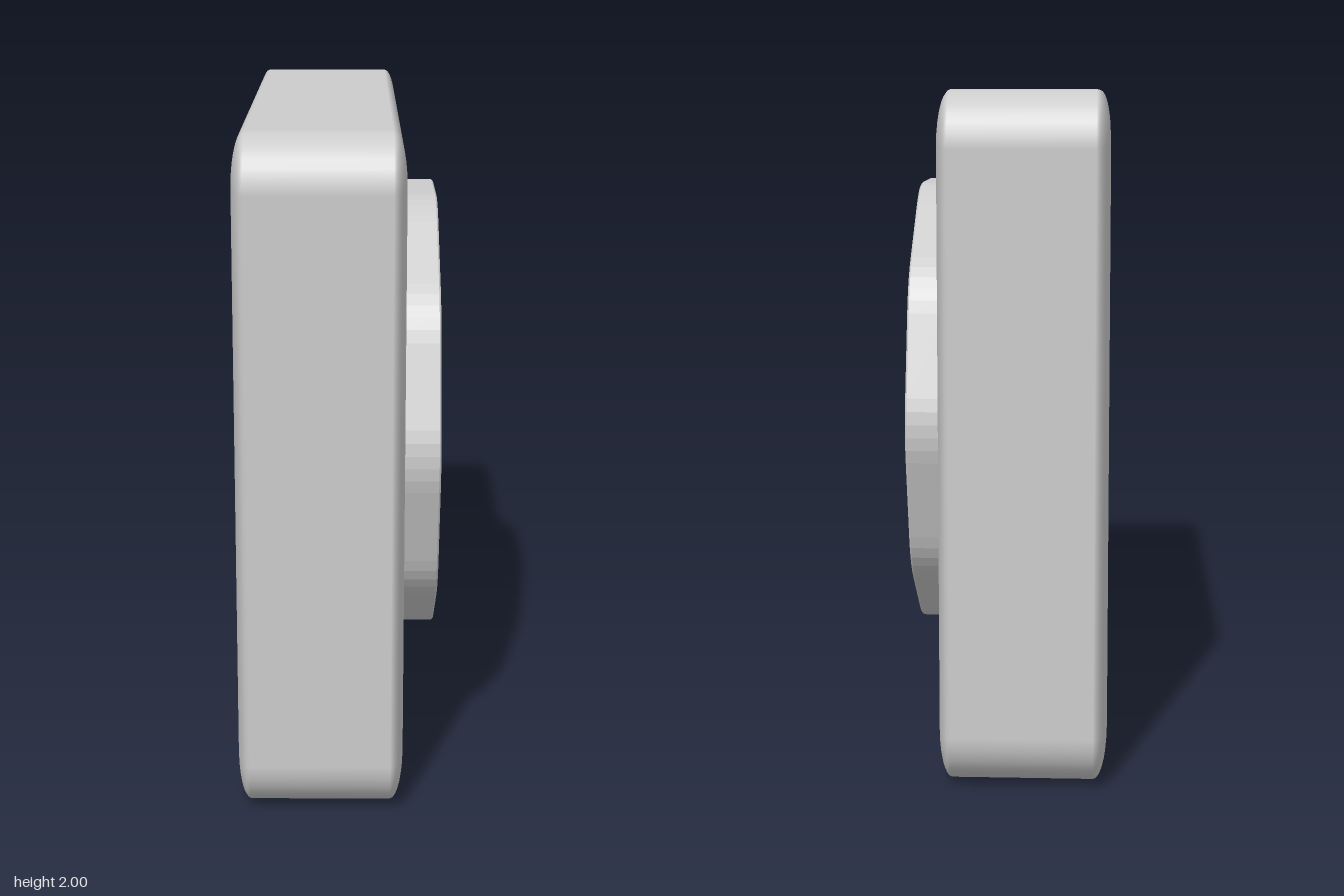
import * as THREE from 'three';
import { RoundedBoxGeometry } from 'three/addons/geometries/RoundedBoxGeometry.js';

const material = new THREE.MeshStandardMaterial({ color: 0xcccccc });
const CENTRE_Y = 1.005;

function addPart(group, name, geometry, x = 0, y = 0, z = 0) {
  const mesh = new THREE.Mesh(geometry, material);
  mesh.name = name;
  mesh.position.set(x, y, z);
  group.add(mesh);
  return mesh;
}

// Decagon with softened corners, flat at top and bottom
function softDecagon(path, apothem, softening) {
  const radius = apothem / Math.cos(Math.PI / 10);
  const corner = (i) => new THREE.Vector2(
    radius * Math.cos(i * Math.PI / 5), radius * Math.sin(i * Math.PI / 5));
  const t = softening / corner(0).distanceTo(corner(1));
  for (let i = 0; i < 10; i++) {
    const c = corner(i);
    const a = c.clone().lerp(corner(i - 1), t);
    const b = c.clone().lerp(corner(i + 1), t);
    if (i === 0) path.moveTo(a.x, a.y);
    else path.lineTo(a.x, a.y);
    path.quadraticCurveTo(c.x, c.y, b.x, b.y);
  }
  path.closePath();
  return path;
}

export function createModel() {
  const group = new THREE.Group();
  group.name = 'wallVent';

  // Square housing: a rounded cube flattened along x, so its face edges are shallow
  const housing = new RoundedBoxGeometry(0.49 * 4, 2, 2, 4, 0.16);
  housing.scale(0.25, 1, 1);
  addPart(group, 'housing', housing, -0.055, 1, 0);

  // Raised ring around the grille
  const outline = softDecagon(new THREE.Shape(), 0.7, 0.1);
  outline.holes.push(softDecagon(new THREE.Path(), 0.54, 0.1));
  const ring = new THREE.ExtrudeGeometry(outline, {
    depth: 0.115, curveSegments: 5,
    bevelEnabled: true, bevelThickness: 0.005, bevelSize: 0.005, bevelSegments: 1,
  });
  ring.rotateY(Math.PI / 2);
  addPart(group, 'ring', ring, 0.18, CENTRE_Y, 0);

  // Horizontal slats, their ends buried in the ring: [bottom, top, half length]
  const slats = [[1.28, 1.41, 0.49], [1.02, 1.16, 0.58], [0.74, 0.87, 0.56], [0.50, 0.64, 0.44]];
  slats.forEach(([bottom, top, half], i) => {
    addPart(group, `slat${i + 1}`, new THREE.BoxGeometry(0.11, top - bottom, half * 2),
      0.23, (top + bottom) / 2, 0);
  });

  return group;
}
